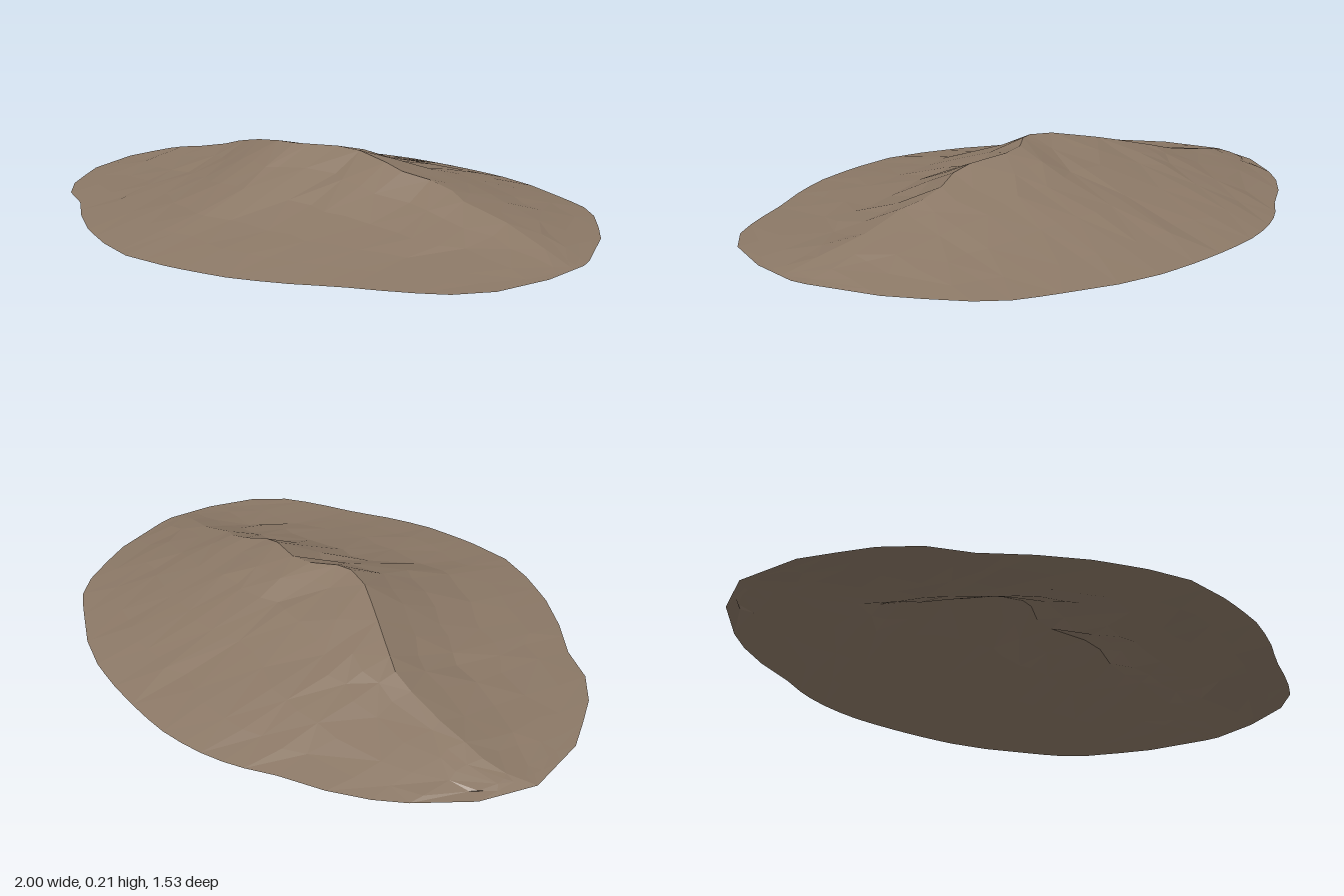
import * as THREE from 'three';

// Plan outline of the foot, as [x, z] running left to right
const backEdge = [[-1, 0], [-.96, -.18], [-.86, -.34], [-.78, -.43], [-.69, -.5], [-.57, -.57], [-.45, -.66],
  [-.32, -.72], [-.2, -.75], [-.08, -.765], [.08, -.77], [.22, -.765], [.37, -.735], [.52, -.68], [.65, -.63],
  [.76, -.54], [.89, -.36], [.99, -.14], [1, -.1]];
const frontEdge = [[-1, 0], [-.93, .21], [-.8, .39], [-.69, .48], [-.56, .53], [-.42, .62], [-.28, .69], [-.13, .74],
  [.02, .765], [.19, .74], [.36, .69], [.5, .62], [.64, .52], [.76, .45], [.88, .37], [.96, .25], [1, .07]];

// Winding crest line: [x, z] in plan and [x, y] in elevation
const crestPlan = [[-1, 0], [-.9, -.08], [-.63, -.11], [-.48, -.11], [-.35, -.06], [-.2, 0], [-.12, .03], [-.03, .04],
  [.02, .02], [.09, -.04], [.17, -.06], [.3, -.04], [.39, -.04], [.45, -.08], [.53, -.09], [.59, -.07], [.73, -.09], [1, -.05]];
const crestHeight = [[-1, 0], [-.88, .035], [-.75, .065], [-.63, .08], [-.48, .125], [-.3, .17], [-.12, .205], [0, .215],
  [.15, .205], [.3, .19], [.5, .14], [.6, .11], [.75, .07], [.88, .035], [1, 0]];

// Relative height of the slopes: [distance from crest to foot, height]
const backSlope = [[0, 1], [.3, .68], [.54, .44], [.79, .2], [1, 0]];
const frontSpur = [[0, 1], [.16, .75], [.36, .53], [.57, .26], [.78, .14], [1, 0]];
const frontHollow = [[0, 1], [.16, .68], [.36, .42], [.57, .25], [.78, .13], [1, 0]];

function sample(points, x) {
  let i = 1;
  while (i < points.length - 1 && points[i][0] < x) i++;
  const [x0, y0] = points[i - 1], [x1, y1] = points[i];
  return y0 + (y1 - y0) * THREE.MathUtils.clamp((x - x0) / (x1 - x0), 0, 1);
}

// Small repeatable irregularity
function makeRandom(seed) {
  return () => {
    seed = (seed * 16807) % 2147483647;
    return seed / 2147483647 - 0.5;
  };
}

function hillGeometry() {
  const random = makeRandom(417);
  const columns = [-1, -.985, -.96, -.93, -.86, -.79, -.69, -.56, -.48, -.42, -.35, -.28, -.2, -.12, -.03, .02, .09, .17,
    .23, .3, .37, .45, .53, .59, .66, .74, .82, .89, .96, .985, 1];
  const rows = [-1, -.79, -.54, -.3, -.14, 0, .16, .36, .57, .78, 1];
  const positions = [], indices = [];

  columns.forEach((x, i) => {
    const crestZ = sample(crestPlan, x), top = sample(crestHeight, x);
    // the central spur fades into shallow hollows on both sides
    const spur = Math.exp(-((x / 0.22) ** 2));
    for (const row of rows) {
      const s = Math.abs(row);
      const edgeZ = sample(row < 0 ? backEdge : frontEdge, x);
      const profile = row < 0 ? sample(backSlope, s)
        : THREE.MathUtils.lerp(sample(frontHollow, s), sample(frontSpur, s), spur);
      const inside = s > 0 && s < 1 && i > 2 && i < columns.length - 3;
      const rough = inside ? (row < 0 ? 0.035 : 0.09) : 0;
      const dx = inside ? random() * 0.03 : 0;
      const dz = inside ? random() * 0.04 : 0;
      positions.push(x + dx, top * profile * (1 + random() * rough), THREE.MathUtils.lerp(crestZ, edgeZ, s) + dz);
    }
  });

  const n = rows.length;
  for (let i = 0; i < columns.length - 1; i++) {
    for (let j = 0; j < n - 1; j++) {
      const a = i * n + j, b = a + 1, c = a + n, d = c + 1;
      // alternate the diagonals for a natural faceted surface
      if ((i + j) % 2) indices.push(a, b, c, b, d, c);
      else indices.push(a, b, d, a, d, c);
    }
  }

  const geometry = new THREE.BufferGeometry();
  geometry.setAttribute('position', new THREE.Float32BufferAttribute(positions, 3));
  geometry.setIndex(indices);
  geometry.computeVertexNormals();
  return geometry;
}

export function createModel() {
  const group = new THREE.Group();
  group.name = 'ridgedHill';

  const earth = new THREE.MeshStandardMaterial({ color: 0x8b7866, side: THREE.DoubleSide, flatShading: true });
  earth.name = 'earthBrown';

  // Open shell of the hill
  const hill = new THREE.Mesh(hillGeometry(), earth);
  hill.name = 'hillside';
  group.add(hill);
  return group;
}
